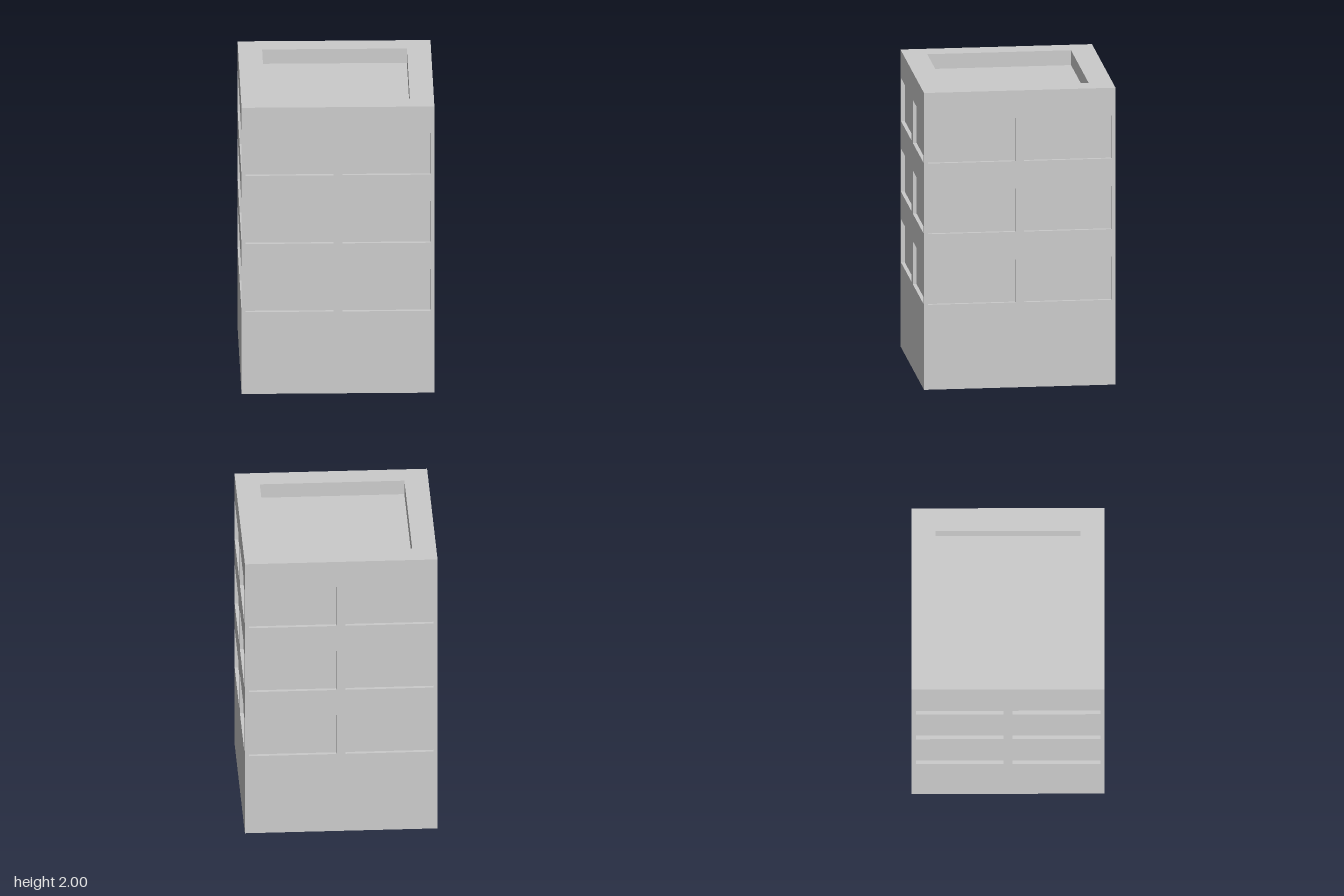
import * as THREE from 'three';

const HALF = 0.633;      // half width of the tower
const HEIGHT = 2;
const DEPTH = 0.025;     // window recess
const CORE = HALF - DEPTH;
const ROOF_HALF = 0.475; // half width of the roof well
const ROOF_DEPTH = 0.1;

const material = new THREE.MeshStandardMaterial({ color: 0xcccccc, flatShading: true });

function part(name, geometry) {
  const mesh = new THREE.Mesh(geometry, material);
  mesh.name = name;
  return mesh;
}

function trace(path, x0, y0, x1, y1) {
  path.moveTo(x0, y0);
  path.lineTo(x1, y0);
  path.lineTo(x1, y1);
  path.lineTo(x0, y1);
  path.closePath();
  return path;
}

// Wall skin with a 2 x 3 grid of window openings, mitred at the corners
function facadeGeometry() {
  const shape = trace(new THREE.Shape(), -HALF, 0, HALF, HEIGHT);
  for (let row = 0; row < 3; row++) {
    const y = 0.572 + row * 0.476;
    for (const x of [-0.606, 0.029]) {
      shape.holes.push(trace(new THREE.Path(), x, y, x + 0.577, y + 0.291));
    }
  }
  const geometry = new THREE.ExtrudeGeometry(shape, { depth: DEPTH, bevelEnabled: false });
  const p = geometry.attributes.position;
  for (let i = 0; i < p.count; i++) {
    if (p.getZ(i) < DEPTH / 2 && Math.abs(p.getX(i)) > HALF - 0.001) {
      p.setX(i, Math.sign(p.getX(i)) * CORE);
    }
  }
  geometry.translate(0, 0, CORE);
  geometry.computeVertexNormals();
  return geometry;
}

export function createModel() {
  const group = new THREE.Group();
  group.name = 'towerBlock';

  // Core: its sides are the window panes, its top is the roof deck
  const coreHeight = HEIGHT - ROOF_DEPTH;
  const core = part('core', new THREE.BoxGeometry(CORE * 2, coreHeight, CORE * 2));
  core.position.y = coreHeight / 2;
  group.add(core);

  // Four identical walls
  const facade = facadeGeometry();
  ['frontWall', 'leftWall', 'backWall', 'rightWall'].forEach((name, i) => {
    const wall = part(name, facade);
    wall.rotation.y = i * Math.PI / 2;
    group.add(wall);
  });

  // Parapet around the sunken roof
  const rim = trace(new THREE.Shape(), -CORE, -CORE, CORE, CORE);
  rim.holes.push(trace(new THREE.Path(), -ROOF_HALF, -ROOF_HALF, ROOF_HALF, ROOF_HALF));
  const parapet = part('parapet', new THREE.ExtrudeGeometry(rim, { depth: ROOF_DEPTH, bevelEnabled: false }));
  parapet.rotation.x = -Math.PI / 2;
  parapet.position.y = coreHeight;
  group.add(parapet);

  return group;
}
